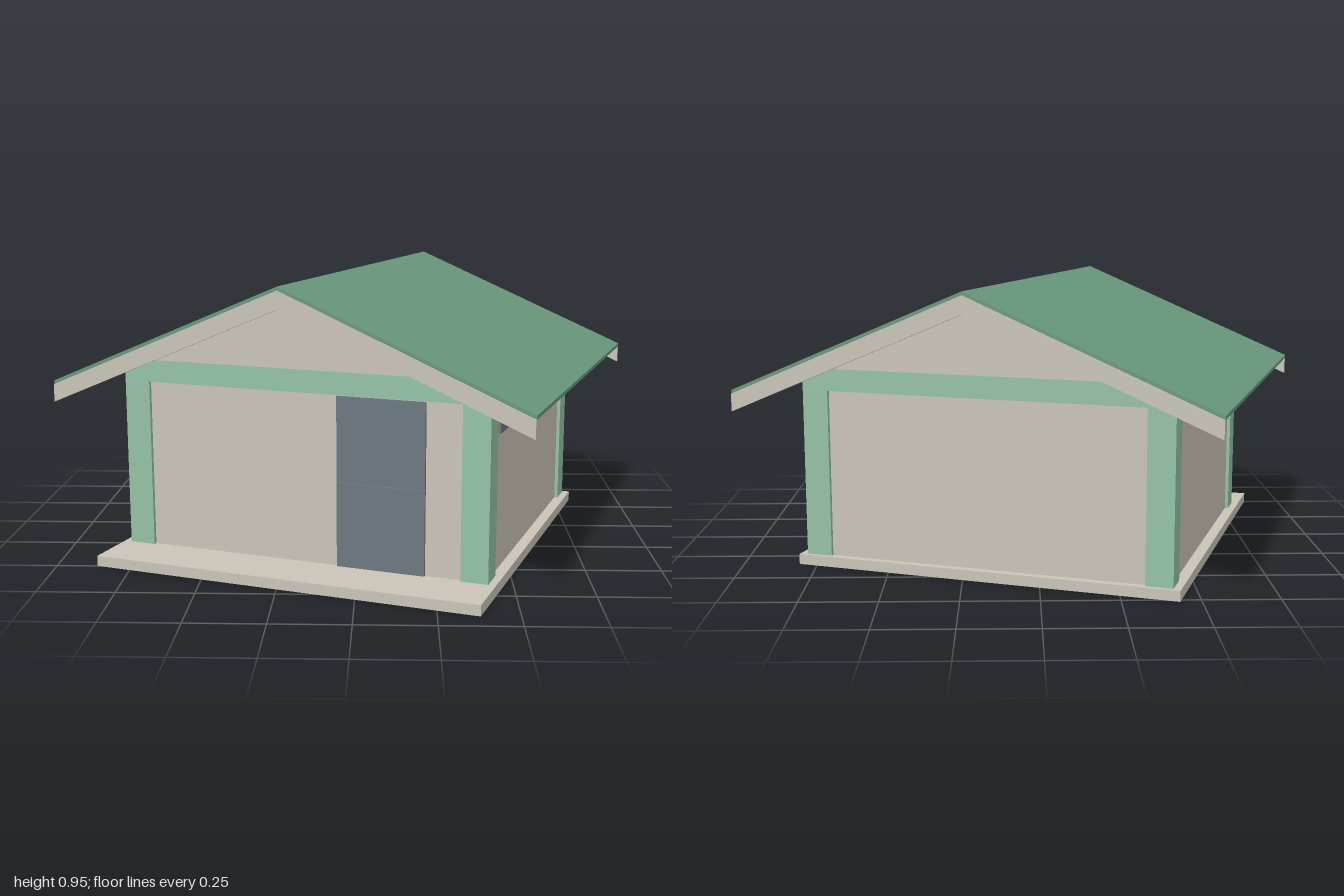
import * as THREE from 'three';

const HALF_W = 0.632, HALF_D = 0.574;   // outer wall faces
const BASE_TOP = 0.035, BAND_Y = 0.6, BAND_TOP = 0.674;
const ROOF_W = 0.805, RIDGE = 0.953, EAVE = 0.615, SKIN = 0.012;
const RECESS = 0.012, POST = 0.09;

const mat = (name, color) => {
  const m = new THREE.MeshStandardMaterial({ color });
  m.name = name;
  return m;
};

export function createModel() {
  const roofGreen = mat('roof green', 0x69987c);
  const trimGreen = mat('trim green', 0x94c2a5);
  const cream = mat('cream', 0xcac4b7);
  const slate = mat('slate', 0x6d7780);

  const model = new THREE.Group();
  model.name = 'cabin';
  const house = new THREE.Group();
  house.name = 'house';
  house.rotation.y = -0.329;
  model.add(house);

  const add = (name, geo, material, x = 0, y = 0, z = 0) => {
    const mesh = new THREE.Mesh(geo, material);
    mesh.name = name;
    mesh.position.set(x, y, z);
    house.add(mesh);
    return mesh;
  };
  // box given by its min and max on each axis
  const box = (name, material, x0, x1, y0, y1, z0, z1) =>
    add(name, new THREE.BoxGeometry(x1 - x0, y1 - y0, z1 - z0), material,
      (x0 + x1) / 2, (y0 + y1) / 2, (z0 + z1) / 2);
  // outline in x and y, extruded from z0 to z1
  const prism = (name, material, points, z0, z1) => {
    const shape = new THREE.Shape(points.map(([x, y]) => new THREE.Vector2(x, y)));
    const geo = new THREE.ExtrudeGeometry(shape, { depth: z1 - z0, bevelEnabled: false });
    return add(name, geo, material, 0, 0, z0);
  };
  // inverted V with vertical ends
  const chevron = (w, ridge, eave, drop) => [
    [-w, eave - drop], [0, ridge - drop], [w, eave - drop],
    [w, eave], [0, ridge], [-w, eave],
  ];

  // floor slab, with a porch strip in front
  box('floorSlab', cream, -0.657, 0.657, 0, BASE_TOP, -0.588, 0.752);

  // recessed wall panels
  const w = HALF_W - RECESS, d = HALF_D - RECESS;
  box('walls', cream, -w, w, BASE_TOP, BAND_Y + 0.03, -d, d);

  // corner posts
  for (const sx of [-1, 1]) for (const sz of [-1, 1]) {
    add('cornerPost', new THREE.BoxGeometry(POST, BAND_Y - BASE_TOP, POST), trimGreen,
      sx * (HALF_W - POST / 2), (BAND_Y + BASE_TOP) / 2, sz * (HALF_D - POST / 2));
  }

  // band around the wall tops
  box('topBand', trimGreen, -HALF_W, HALF_W, BAND_Y, BAND_TOP, -HALF_D, HALF_D);

  // gable walls, flush with the band
  const gable = [[-HALF_W, BAND_TOP], [HALF_W, BAND_TOP], [0, RIDGE - SKIN - 0.001]];
  prism('frontGable', cream, gable, HALF_D - 0.02, HALF_D);
  prism('backGable', cream, gable, -HALF_D, -HALF_D + 0.02);

  // roof skin and the boards below its gable edges
  prism('roof', roofGreen, chevron(ROOF_W, RIDGE, EAVE, SKIN), -0.733, 0.733);
  const board = chevron(ROOF_W - 0.001, RIDGE - SKIN, EAVE - SKIN, 0.058);
  prism('frontBargeboard', cream, board, 0.72, 0.738);
  prism('backBargeboard', cream, board, -0.738, -0.72);

  // two-leaf door on the front
  box('doorLowerLeaf', slate, 0.127, 0.423, BASE_TOP, 0.314, d - 0.005, d + 0.009);
  box('doorUpperLeaf', slate, 0.127, 0.423, 0.316, 0.596, d - 0.005, d + 0.009);

  // small high window on the left side
  box('sideWindow', slate, w - 0.005, w + 0.008, 0.485, 0.585, 0.228, 0.44);

  return model;
}
